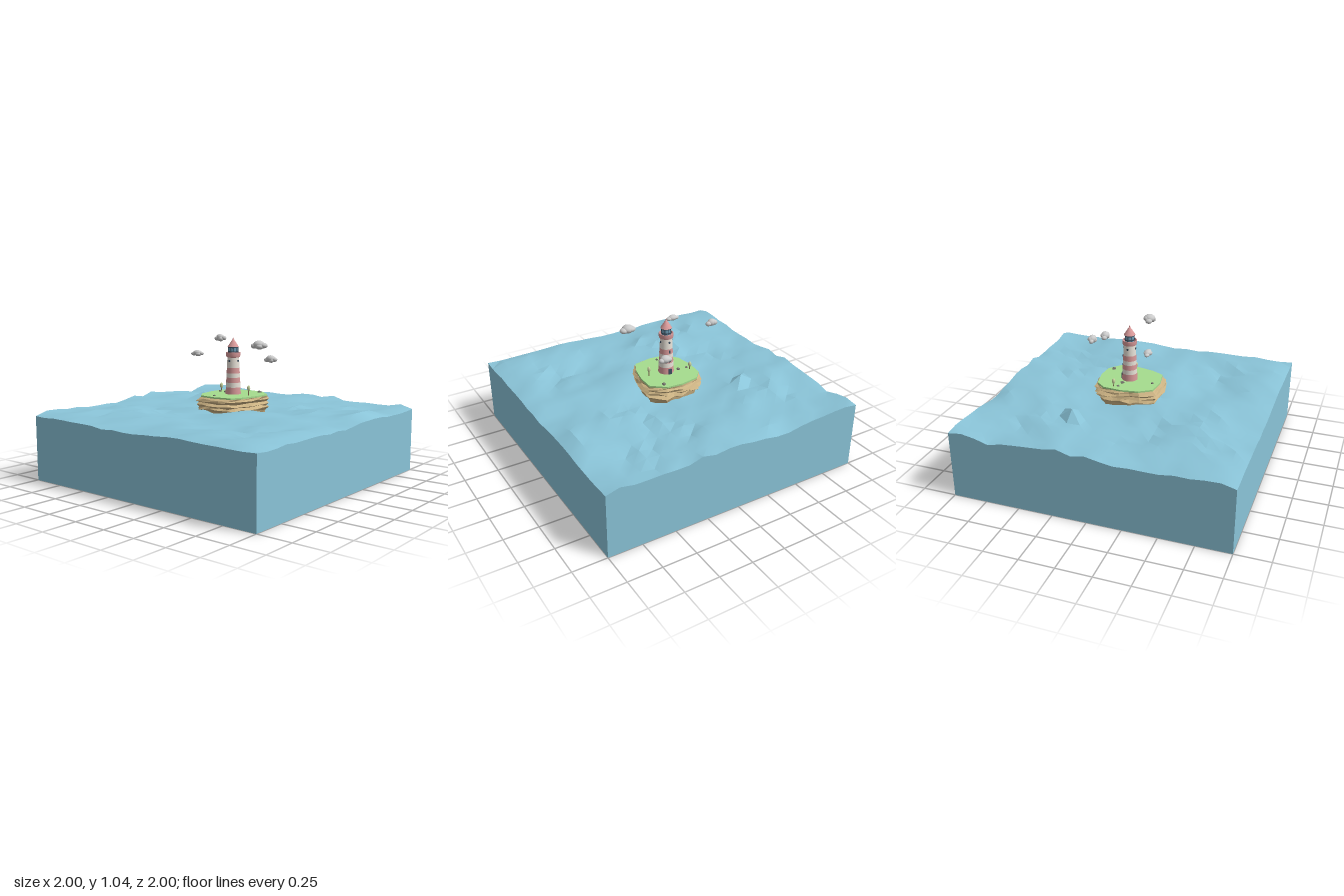
import * as THREE from 'three';
import { toCreasedNormals } from 'three/addons/utils/BufferGeometryUtils.js';

const material = (color, extra = {}) => new THREE.MeshStandardMaterial({ color, ...extra });
const SEA = material(0x8ac4d8);
const ROCK = material(0xcbb283, { flatShading: true });
const GRASS = material(0xa6dc8e);
const RED = material(0xd99a9a);
const WHITE = material(0xe8e2d8);
const DARK = material(0x3d4f60);
const GLASS = material(0x6f9fb8);
const LEAF = material(0xc9d3a0);
const TRUNK = material(0x8a7355);
const CLOUD = material(0xcccccc);
const STONE = material(0x77776f, { flatShading: true });

// Repeatable pseudo-random value in 0..1
const hash = (a, b = 0) => {
  const s = Math.sin(a * 127.1 + b * 311.7) * 43758.5453;
  return s - Math.floor(s);
};

function add(parent, name, geometry, mat, x = 0, y = 0, z = 0) {
  const mesh = new THREE.Mesh(geometry, mat);
  mesh.name = name;
  mesh.position.set(x, y, z);
  parent.add(mesh);
  return mesh;
}

// Block of water with a rippled top
function makeSea() {
  const geo = new THREE.BoxGeometry(2, 0.5, 2, 20, 1, 20).translate(0, 0.25, 0);
  const p = geo.attributes.position;
  for (let i = 0; i < p.count; i++) {
    if (p.getY(i) < 0.4) continue;
    const x = p.getX(i), z = p.getZ(i);
    const gx = Math.round(x * 10), gz = Math.round(z * 10);
    let h = 0.492 + 0.012 * Math.sin(4 * x + 5.5 * z) + 0.008 * Math.sin(9 * z - 3 * x + 1)
      + 0.036 * (hash(gx, gz) - 0.5);
    if (gx === 10 || gz === 10) h = 0.475 + 0.4 * (h - 0.492);
    if (gx === -5 && gz === -3) h = 0.56;
    p.setY(i, h);
  }
  return toCreasedNormals(geo, 0.5);
}

// Island outline, clockwise from above: [x, z]
const OUTLINE = [
  [-0.2, -0.18], [-0.14, -0.25], [0, -0.275], [0.12, -0.265], [0.22, -0.18], [0.215, -0.06],
  [0.185, 0.07], [0.14, 0.16], [0, 0.185], [-0.13, 0.17], [-0.19, 0.08], [-0.21, -0.05],
];

// Craggy layered cliff, lofted through jittered rings of [height, scale]
function makeCliff() {
  const ring = [];
  OUTLINE.forEach(([x, z], i) => {
    const [u, v] = OUTLINE[(i + 1) % OUTLINE.length];
    ring.push([x, z], [(x + u) / 2, (z + v) / 2]);
  });
  const layers = [[0.44, 0.86], [0.505, 0.94], [0.52, 1.02], [0.535, 0.94], [0.55, 1.07],
    [0.565, 0.97], [0.58, 1.07], [0.592, 1.03], [0.603, 1.0]];
  const n = ring.length, pos = [], index = [];
  layers.forEach(([y, s], i) => ring.forEach(([x, z], j) => {
    const last = i === layers.length - 1;
    const k = last ? 1.01 : s + 0.11 * (hash(i + 3, j) - 0.5);
    const lean = last ? 0 : 0.022 * Math.max(0, z) / 0.18;
    pos.push(x * k - lean * 0.5, y + (last ? 0 : 0.012 * (hash(j, i + 9) - 0.5)), (z + 0.04) * k - 0.04 + lean);
  }));
  for (let i = 0; i < layers.length - 1; i++) {
    for (let j = 0; j < n; j++) {
      const a = i * n + j, b = i * n + (j + 1) % n;
      index.push(a, a + n, b, b, a + n, b + n);
    }
  }
  const geo = new THREE.BufferGeometry();
  geo.setAttribute('position', new THREE.Float32BufferAttribute(pos, 3));
  geo.setIndex(index);
  geo.computeVertexNormals();
  return geo;
}

function makeIsland() {
  const g = new THREE.Group();
  g.name = 'island';
  add(g, 'cliff', makeCliff(), ROCK);
  const shape = new THREE.Shape(OUTLINE.map(([x, z]) => new THREE.Vector2(x, -z)));
  const turf = new THREE.ExtrudeGeometry(shape, { depth: 0.014, bevelEnabled: false });
  add(g, 'grass', turf.rotateX(-Math.PI / 2), GRASS, 0, 0.6, 0);
  // Boulders: x, z, radius
  for (const [x, z, r] of [[-0.155, -0.085, 0.011], [-0.09, -0.075, 0.015], [0.12, -0.22, 0.016], [-0.03, 0.135, 0.01]]) {
    add(g, 'boulder', new THREE.DodecahedronGeometry(r), STONE, x, 0.617, z).scale.y = 0.7;
  }
  // Trees: x, z, height
  for (const [x, z, h] of [[-0.165, -0.115, 0.065], [0.145, -0.05, 0.076]]) {
    add(g, 'trunk', new THREE.CylinderGeometry(0.0025, 0.004, h * 0.7, 6), TRUNK, x, 0.612 + h * 0.35, z);
    add(g, 'treeCrown', new THREE.SphereGeometry(0.012, 10, 8), LEAF, x, 0.612 + h - 0.022, z).scale.set(1, 1.8, 1);
  }
  return g;
}

function makeLighthouse() {
  const g = new THREE.Group();
  g.name = 'lighthouse';
  g.position.set(0, 0, -0.05);
  const radius = (y) => 0.058 - (y - 0.61) * 0.052;
  const drum = (name, r0, r1, y0, y1, mat) =>
    add(g, name, new THREE.CylinderGeometry(r1, r0, y1 - y0, 24), mat, 0, (y0 + y1) / 2, 0);
  // Striped tapering tower
  const bands = [0.608, 0.665, 0.7, 0.738, 0.77, 0.81, 0.89];
  for (let i = 0; i < bands.length - 1; i++) {
    drum('towerBand', radius(bands[i]), radius(bands[i + 1]), bands[i], bands[i + 1], i % 2 ? WHITE : RED);
  }
  // Gallery with a raised rim
  const rim = [[0.04, 0.885], [0.05, 0.89], [0.053, 0.9], [0.053, 0.925], [0.048, 0.925], [0.048, 0.905], [0.001, 0.905]];
  const gallery = new THREE.LatheGeometry(rim.map(([x, y]) => new THREE.Vector2(x, y)), 24);
  add(g, 'gallery', toCreasedNormals(gallery, 0.6), RED);
  // Lantern room
  drum('lanternGlass', 0.034, 0.034, 0.905, 0.965, GLASS);
  drum('lanternSill', 0.038, 0.038, 0.925, 0.934, DARK);
  drum('lanternHead', 0.038, 0.038, 0.957, 0.966, DARK);
  for (let i = 0; i < 8; i++) {
    const a = (i * Math.PI) / 4;
    add(g, 'lanternBar', new THREE.BoxGeometry(0.004, 0.05, 0.004), DARK,
      0.035 * Math.sin(a), 0.94, 0.035 * Math.cos(a));
  }
  // Roof
  drum('roof', 0.042, 0.003, 0.965, 1.025, RED);
  add(g, 'finial', new THREE.SphereGeometry(0.005, 8, 6), RED, 0, 1.028, 0);
  // Round windows under the gallery
  for (let i = 0; i < 4; i++) {
    const a = (i * Math.PI) / 2, r = radius(0.86);
    const pane = new THREE.CylinderGeometry(0.008, 0.008, 0.006, 12).rotateX(Math.PI / 2);
    add(g, 'window', pane, DARK, r * Math.sin(a), 0.862, r * Math.cos(a)).rotation.y = a;
  }
  // Rear door with small windows above it
  add(g, 'door', new THREE.BoxGeometry(0.022, 0.042, 0.014), DARK, 0, 0.634, -0.056);
  for (const y of [0.72, 0.79]) {
    add(g, 'rearWindow', new THREE.BoxGeometry(0.012, 0.02, 0.008), DARK, 0, y, -radius(y));
  }
  return g;
}

// Puffy cloud filling the given width, height and depth
function makeCloud(x, y, z, w, h, d, seed) {
  const g = new THREE.Group();
  g.name = 'cloud';
  g.position.set(x, y, z);
  // Puffs: centre and radius as fractions of the cloud size
  const puffs = [[0, 0.05, 0, 0.42], [-0.28, -0.12, 0.06, 0.27], [0.28, -0.02, -0.08, 0.28],
    [0.1, -0.14, 0.14, 0.32], [-0.12, 0.06, -0.16, 0.3]];
  puffs.forEach(([px, py, pz, r], i) => {
    const k = r * (0.9 + 0.2 * hash(seed, i));
    add(g, 'puff', new THREE.SphereGeometry(1, 12, 9), CLOUD, px * w, py * h, pz * d)
      .scale.set(k * w * 0.75, k * h * 1.1, k * d * 1.1);
  });
  return g;
}

export function createModel() {
  const model = new THREE.Group();
  model.name = 'lighthouseIsland';
  add(model, 'sea', makeSea(), SEA);
  model.add(makeIsland(), makeLighthouse());
  model.add(
    makeCloud(-0.27, 1.01, -0.228, 0.108, 0.058, 0.06, 1),
    makeCloud(-0.178, 0.922, 0.15, 0.11, 0.042, 0.055, 2),
    makeCloud(0.28, 0.995, 0.008, 0.13, 0.062, 0.088, 3),
    makeCloud(0.16, 0.862, -0.305, 0.11, 0.056, 0.066, 4),
  );
  return model;
}
